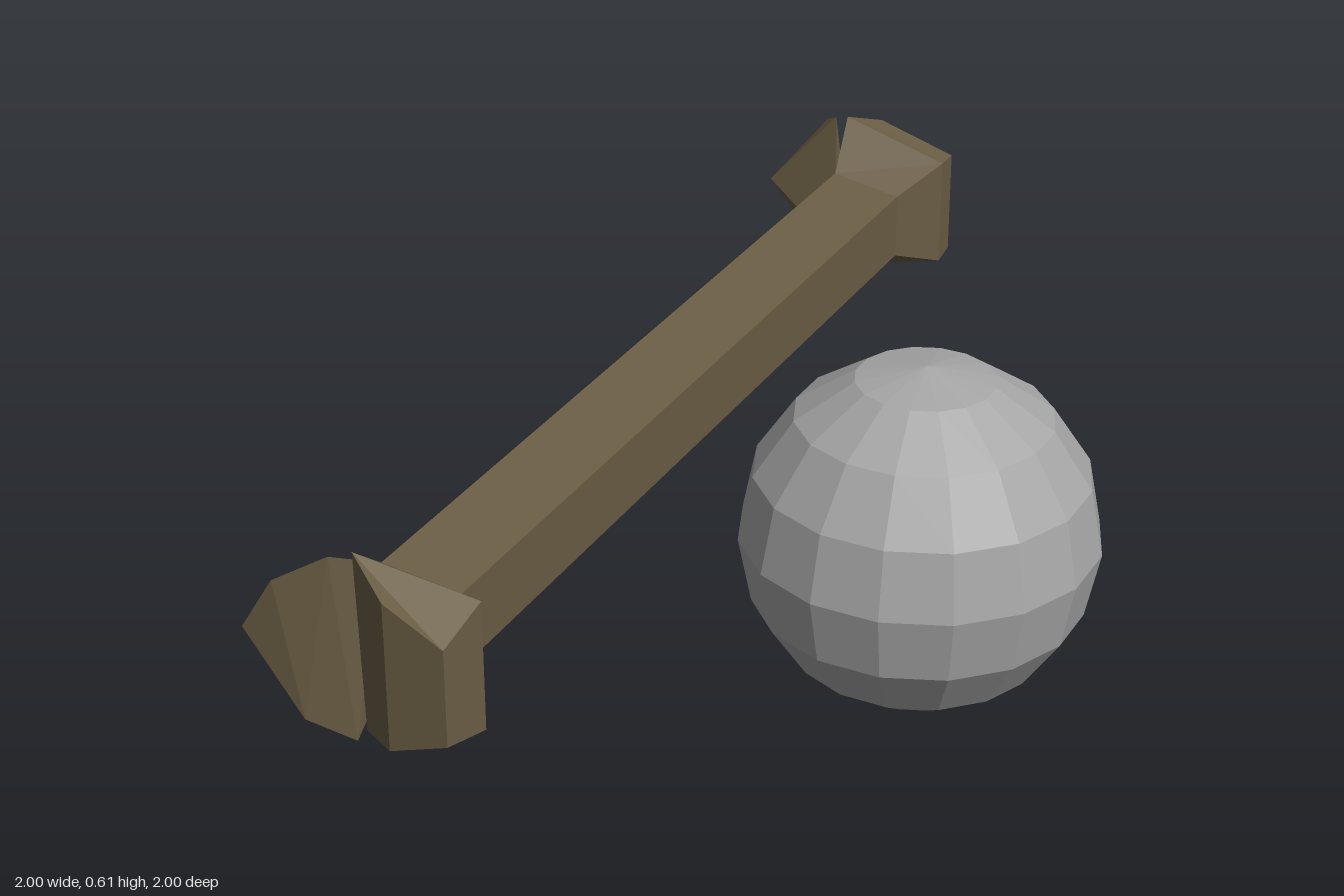
import * as THREE from 'three';

const boneMat = new THREE.MeshStandardMaterial({ color: 0x6a5d44, flatShading: true });
boneMat.name = 'dull brown bone';
const ballMat = new THREE.MeshStandardMaterial({ color: 0xa6a6a6, flatShading: true });
ballMat.name = 'grey ball';

// Faceted skin through rings of [along, height, across]; the last ring is capped
function loft(name, rings, reverse) {
  const pos = [];
  const tri = (a, b, c) => pos.push(...a, ...(reverse ? c : b), ...(reverse ? b : c));
  for (let i = 0; i < rings.length - 1; i++) {
    const n = rings[i].length;
    for (let k = 0; k < n; k++) {
      const a = rings[i][k], b = rings[i][(k + 1) % n];
      const c = rings[i + 1][(k + 1) % n], d = rings[i + 1][k];
      tri(a, b, c);
      tri(a, c, d);
    }
  }
  const cap = rings[rings.length - 1];
  for (let k = 1; k < cap.length - 1; k++) tri(cap[0], cap[k], cap[k + 1]);
  const g = new THREE.BufferGeometry();
  g.setAttribute('position', new THREE.Float32BufferAttribute(pos, 3));
  g.computeVertexNormals();
  const mesh = new THREE.Mesh(g, boneMat);
  mesh.name = name;
  return mesh;
}

export function createModel() {
  const model = new THREE.Group();
  model.name = 'boneAndBall';

  const ball = new THREE.Mesh(new THREE.SphereGeometry(0.306, 16, 8), ballMat);
  ball.name = 'ball';
  ball.position.set(0.045, 0.314, 0.69);
  model.add(ball);

  const bone = new THREE.Group();
  bone.name = 'bone';
  bone.rotation.y = 0.609;
  model.add(bone);

  // Five-sided shaft section, as [height, across]
  const back = [0.18, -0.278], top = [0.278, -0.19], bottom = [0.07, -0.185];
  const frontTop = [0.251, -0.043], frontLow = [0.112, -0.043];
  const at = (x, pts) => pts.map(([y, z]) => [x, y, z]);
  const section = [back, top, frontTop, frontLow, bottom];
  const leftEnd = 1.055, rightEnd = -0.798;
  bone.add(loft('shaft', [at(rightEnd, section), at(leftEnd, section)], false));

  // Each end splits into two flared knobs; ring points are [outward, height, across]
  function knob(name, end, dir, base, flare, cap) {
    const out = (pts) => pts.map(([d, y, z]) => [end + dir * d, y, z]);
    bone.add(loft(name, [at(end, base), out(flare), out(cap)], dir < 0));
  }
  const backBase = [back, top, bottom];
  const frontBase = [top, frontTop, frontLow, bottom];

  knob('leftBackKnob', leftEnd, 1, backBase,
    [[0.08, 0.2, -0.381], [0.08, 0.375, -0.225], [0.08, 0.008, -0.215]],
    [[0.147, 0.2, -0.381], [0.147, 0.337, -0.275], [0.147, 0.03, -0.21]]);
  knob('leftFrontKnob', leftEnd, 1, frontBase,
    [[0.085, 0.378, -0.2], [0.083, 0.31, 0.026], [0.083, 0.08, 0.026], [0.085, 0.03, -0.18]],
    [[0.147, 0.358, -0.145], [0.147, 0.305, 0.022], [0.147, 0.085, 0.022], [0.147, 0.04, -0.12]]);
  knob('rightBackKnob', rightEnd, -1, backBase,
    [[0.089, 0.2, -0.37], [0.14, 0.36, -0.2], [0.13, 0.008, -0.17]],
    [[0.167, 0.2, -0.36], [0.167, 0.305, -0.295], [0.167, 0.05, -0.247]]);
  knob('rightFrontKnob', rightEnd, -1, frontBase,
    [[0.13, 0.374, -0.159], [0.092, 0.32, 0.057], [0.092, 0.075, 0.057], [0.13, 0.035, -0.15]],
    [[0.184, 0.33, -0.072], [0.184, 0.273, 0.039], [0.184, 0.09, 0.039], [0.184, 0.05, -0.072]]);

  return model;
}
